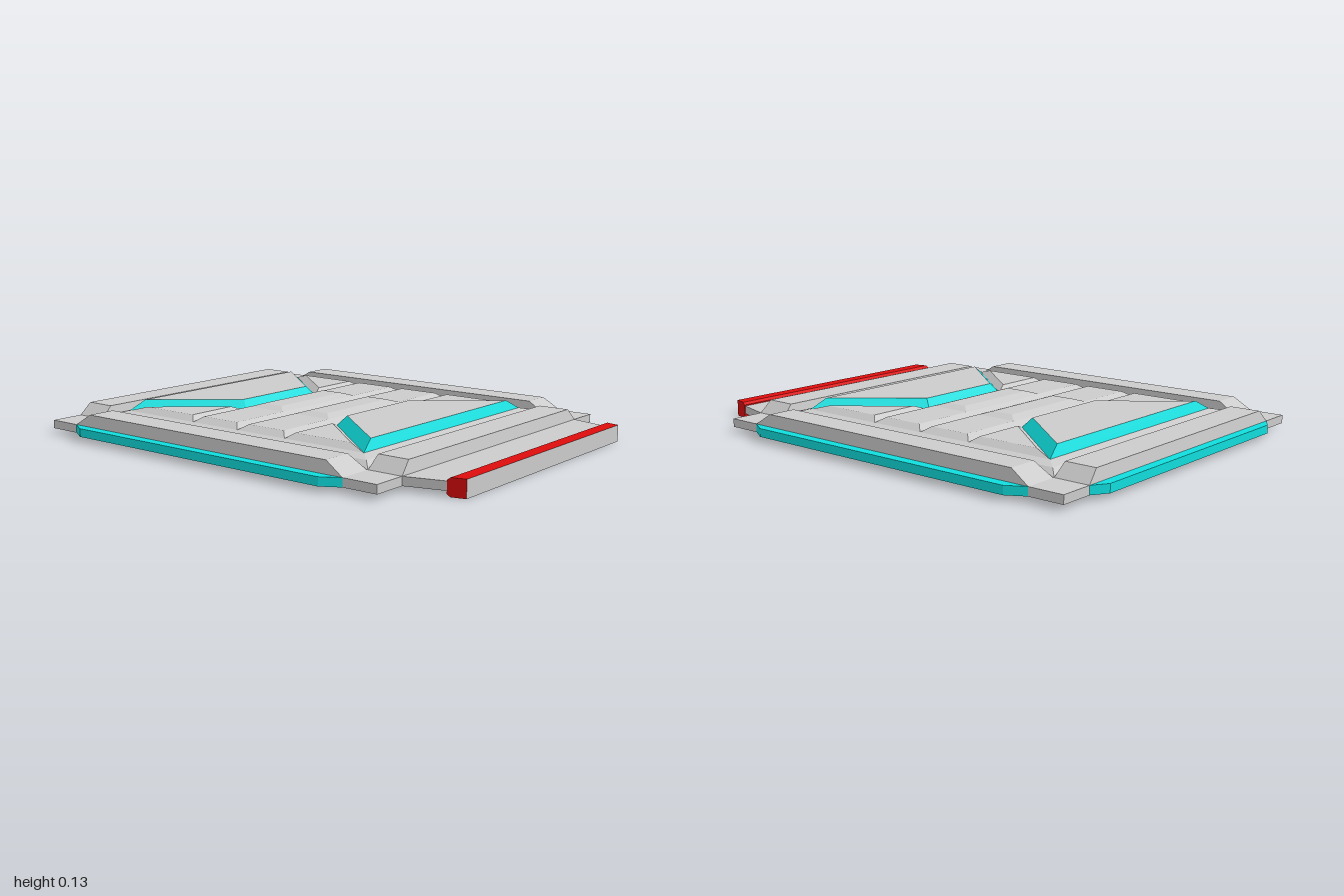
import * as THREE from 'three';

const ZC = -0.095; // z of the panel's middle
const mat = (color) => new THREE.MeshStandardMaterial({ color, flatShading: true });
const grey = mat(0xcccccc), cyan = mat(0x10dede), red = mat(0xdd0c0c);

function mesh(name, tris, material) {
  const g = new THREE.BufferGeometry();
  g.setAttribute('position', new THREE.Float32BufferAttribute(tris.flat(2), 3));
  g.computeVertexNormals();
  const m = new THREE.Mesh(g, material);
  m.name = name;
  return m;
}

// Side walls between successive rings (counter-clockwise seen from the last ring)
function walls(rings) {
  const t = [];
  for (let k = 0; k + 1 < rings.length; k++) {
    const a = rings[k], b = rings[k + 1], n = a.length;
    for (let i = 0; i < n; i++) {
      const j = (i + 1) % n;
      t.push([a[i], a[j], b[j]], [a[i], b[j], b[i]]);
    }
  }
  return t;
}

const cap = (r) => r.slice(1, -1).map((p, i) => [r[0], p, r[i + 2]]);
const solid = (rings) => [
  ...walls(rings), ...cap(rings[rings.length - 1]), ...cap([...rings[0]].reverse())];

const area = (o) => o.reduce((s, [x, z], i) => {
  const [u, w] = o[(i + 1) % o.length];
  return s + x * w - u * z;
}, 0);

// Moves each edge of a convex [x, z] outline inward; d is one distance or one per edge
function inset(o, d) {
  const s = Math.sign(area(o)), n = o.length;
  const lines = o.map(([x, z], i) => {
    const [u, w] = o[(i + 1) % n], l = Math.hypot(u - x, w - z);
    const nx = -s * (w - z) / l, nz = s * (u - x) / l;
    return [nx, nz, nx * x + nz * z + (Array.isArray(d) ? d[i] : d)];
  });
  return lines.map((b, i) => {
    const a = lines[(i + n - 1) % n], det = a[0] * b[1] - a[1] * b[0];
    return [(a[2] * b[1] - a[1] * b[2]) / det, (a[0] * b[2] - a[2] * b[0]) / det];
  });
}

// Outline at height y, ordered counter-clockwise seen from above
function ring(o, y) {
  const r = o.map(([x, z]) => [x, y, z]);
  return area(o) > 0 ? r.reverse() : r;
}

const rect = (x0, x1, z0, z1) => [[x0, z0], [x1, z0], [x1, z1], [x0, z1]];
const hump = (name, o, d, y0, y1) =>
  mesh(name, solid([ring(o, y0), ring(inset(o, d), y1)]), grey);
const slab = (name, o, material) =>
  mesh(name, solid([ring(o, 0.02), ring(o, 0.055)]), material);

export function createModel() {
  const root = new THREE.Group();
  root.name = 'panel';

  // Base plate and tapered front lip
  root.add(slab('basePlate', rect(-0.775, 0.775, -0.96, 0.77), grey));
  root.add(slab('frontLip', [[-0.63, 0.77], [0.63, 0.77], [0.585, 0.935], [-0.585, 0.935]], grey));

  // Front bar: red body with a grey front face
  const barRing = (x, y0, y1, z) => [[-x, y0, z], [x, y0, z], [x, y1, z], [-x, y1, z]];
  const bar = [barRing(0.59, 0.01, 0.06, 0.93), barRing(0.587, 0, 0.07, 0.943),
    barRing(0.573, 0, 0.07, 1)];
  root.add(mesh('frontBar', [...walls(bar), ...cap([...bar[0]].reverse())], red));
  root.add(mesh('frontBarFace', cap(bar[2]), grey));

  // Edge strips on both sides and at the back
  for (const s of [-1, 1]) {
    root.add(slab(s > 0 ? 'leftEdgeStrip' : 'rightEdgeStrip',
      [[s * 0.775, -0.81], [s * 0.818, -0.735], [s * 0.818, 0.545], [s * 0.775, 0.62]], cyan));
  }
  root.add(slab('backEdgeStrip', [[-0.63, -0.96], [-0.565, -1], [0.565, -1], [0.63, -0.96]], cyan));

  // Raised rails with sloping ends
  for (const s of [-1, 1]) {
    root.add(hump(s > 0 ? 'leftRail' : 'rightRail',
      rect(s * 0.635, s * 0.775, -0.81, 0.62), [0.08, 0.008, 0.08, 0.008], 0.055, 0.105));
  }
  root.add(hump('frontRail', rect(-0.63, 0.63, 0.62, 0.77), [0.008, 0.05, 0.008, 0.05], 0.055, 0.105));
  root.add(hump('backRail', rect(-0.63, 0.63, -0.96, -0.81), [0.008, 0.05, 0.008, 0.05], 0.055, 0.105));

  // Central panel with stepped sloping border
  const field = rect(-0.63, 0.63, -0.81, 0.62);
  root.add(mesh('centrePanel', solid([
    ring(field, 0.055), ring(inset(field, 0.03), 0.08), ring(inset(field, 0.078), 0.09)]), grey));

  for (const s of [-1, 1]) {
    const z = (v) => ZC + s * v;
    const end = s > 0 ? 'front' : 'back';

    // Trapezoid plate with cyan bevels
    const o = [[-0.55, z(0.635)], [0.55, z(0.635)], [0.23, z(0.25)], [-0.23, z(0.25)]];
    const low = ring(o, 0.09), high = ring(inset(o, [0.022, 0.04, 0.035, 0.04]), 0.13);
    root.add(mesh(end + 'TrapezoidBevel', walls([low, high]), cyan));
    root.add(mesh(end + 'TrapezoidTop', cap(high), grey));

    // Triangular plates beside the trapezoid
    for (const m of [-1, 1]) {
      root.add(hump(end + (m > 0 ? 'Left' : 'Right') + 'Triangle',
        [[m * 0.23, z(0.25)], [m * 0.55, z(0.25)], [m * 0.55, z(0.635)]], 0.03, 0.09, 0.112));
    }

    // Cross bar with a short raised pad
    root.add(hump(end + 'CrossBar', rect(-0.55, 0.55, z(0), z(0.25)), 0.033, 0.09, 0.112));
    root.add(hump(end + 'CrossBarPad', rect(-0.24, 0.24, z(0.035), z(0.215)), 0.04, 0.112, 0.125));
  }
  return root;
}
